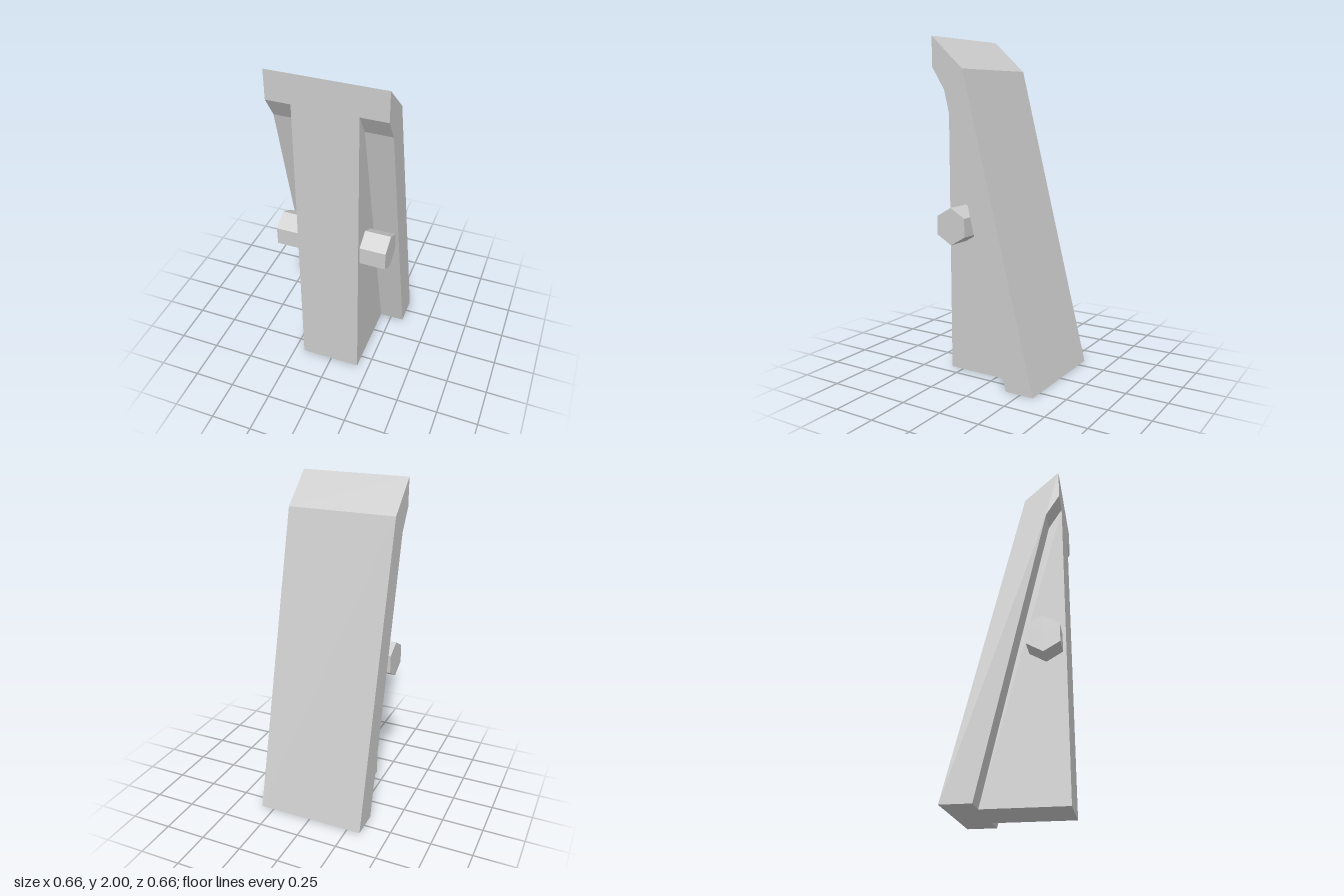
import * as THREE from 'three';

const material = new THREE.MeshStandardMaterial({ color: 0xcccccc, flatShading: true });

// Extrudes a side profile of [z, y] points between two x positions
function sideExtrusion(name, profile, xMin, xMax) {
  const shape = new THREE.Shape(profile.map(([z, y]) => new THREE.Vector2(z, y)));
  const geometry = new THREE.ExtrudeGeometry(shape, { depth: xMax - xMin, bevelEnabled: false });
  geometry.rotateY(-Math.PI / 2).translate(xMax, 0, 0);
  const mesh = new THREE.Mesh(geometry, material);
  mesh.name = name;
  return mesh;
}

// Hexagonal peg along x, with a corner pointing up
function hexPeg(name, xMin, xMax) {
  const geometry = new THREE.CylinderGeometry(0.11, 0.11, xMax - xMin, 6);
  geometry.rotateY(Math.PI / 2).rotateZ(Math.PI / 2);
  const mesh = new THREE.Mesh(geometry, material);
  mesh.position.set((xMin + xMax) / 2, 0.92, 0.217);
  mesh.name = name;
  return mesh;
}

export function createModel() {
  const model = new THREE.Group();
  model.name = 'wedgeSupport';
  const half = 0.332;
  const ribRight = -0.19, ribLeft = 0.178;

  // Leaning back plate with an overhanging lip at the top
  model.add(sideExtrusion('backPlate', [
    [-0.332, 0], [-0.155, 0], [0.25, 1.7], [0.332, 1.828], [0.332, 2], [0.126, 1.815],
  ], -half, half));

  // Upright rib filling the space in front of the plate
  model.add(sideExtrusion('centreRib', [
    [-0.155, 0], [0.332, 0], [0.332, 1.828], [0.25, 1.7],
  ], ribRight, ribLeft));

  // Pegs on both sides of the rib
  model.add(hexPeg('rightPeg', -half, ribRight));
  model.add(hexPeg('leftPeg', ribLeft, half));

  return model;
}
